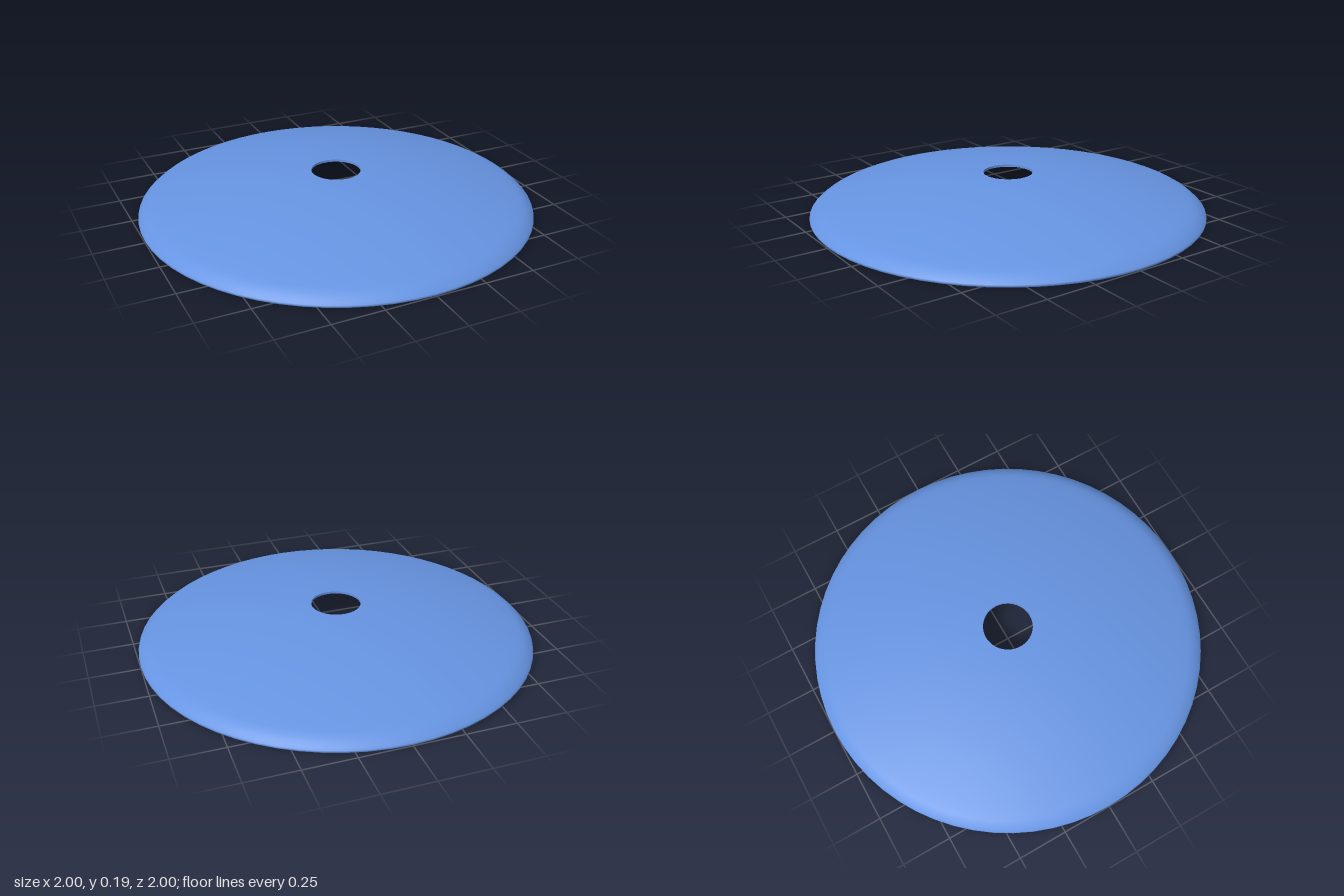
import * as THREE from 'three';

const HOLE = 0.125, SHOULDER = 0.925, SIDES = 64;
const domeY = (r) => 0.19 - 0.153 * r * r;

// points along the dome between the hole and the shoulder
function domeArc(fromR, toR, drop, steps = 16) {
  const points = [];
  for (let i = 0; i <= steps; i++) {
    const r = fromR + (toR - fromR) * i / steps;
    points.push([r, domeY(r) - drop]);
  }
  return points;
}

export function createModel() {
  const group = new THREE.Group();
  group.name = 'domedDisc';
  const material = new THREE.MeshStandardMaterial({ color: 0x6694e2, side: THREE.DoubleSide });
  const wall = 0.012;

  // separate lathes keep the edges between them sharp
  function lathe(name, profile) {
    const points = profile.map(([r, y]) => new THREE.Vector2(r, y));
    const mesh = new THREE.Mesh(new THREE.LatheGeometry(points, SIDES), material);
    mesh.name = name;
    group.add(mesh);
  }

  // rounded outer edge running up over the dome to the hole
  lathe('upperShell', [
    [0.995, 0], [1, 0.006], [0.998, 0.013], [0.988, 0.022], [0.972, 0.036], [0.95, 0.049],
    ...domeArc(SHOULDER, HOLE, 0),
  ]);
  // thin wall of the centre hole
  lathe('holeEdge', [[HOLE, domeY(HOLE)], [HOLE, domeY(HOLE) - wall]]);
  // hollow underside, turning down into the rim
  lathe('underside', [
    ...domeArc(HOLE, SHOULDER - 0.01, wall),
    [0.934, 0.039], [0.947, 0.028], [0.956, 0.014], [0.96, 0],
  ]);
  // flat ring the disc stands on
  lathe('rimBase', [[0.96, 0], [0.995, 0]]);

  return group;
}
